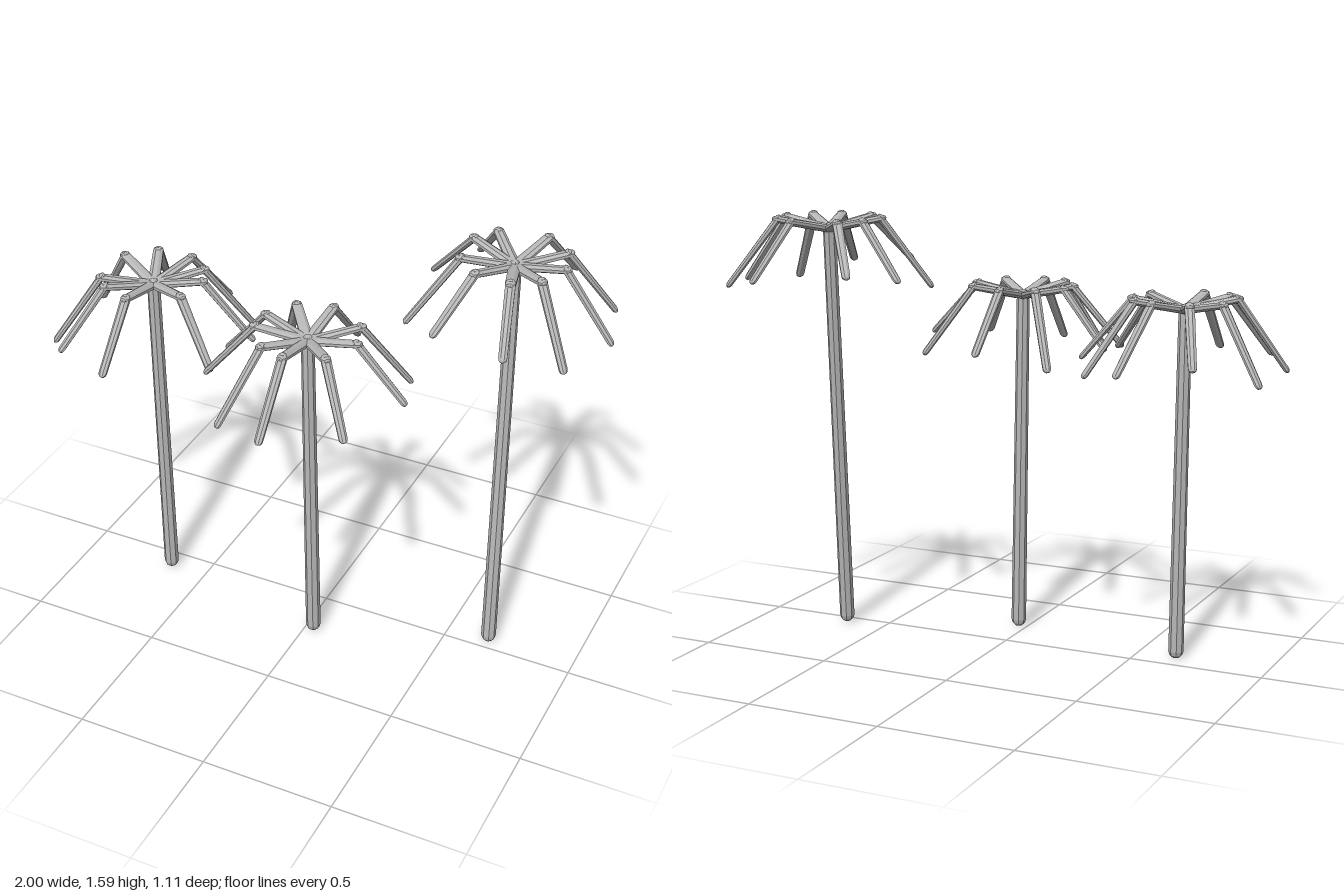
import * as THREE from 'three';

const grey = new THREE.MeshStandardMaterial({ color: 0xb8b8b8, flatShading: true });
grey.name = 'plainGrey';

const V = (x, y, z) => new THREE.Vector3(x, y, z);
const SIDES = 8;

// Tapered rod with rounded ends from a to b; one flat side faces the given
// direction, and thickness squashes the rod along that direction
function rod(name, a, b, ra, rb, facing, thickness = 1) {
  const axis = b.clone().sub(a);
  const length = axis.length();
  axis.normalize();
  const steps = 3;
  const lower = [];
  const upper = [];
  for (let i = 0; i <= steps; i++) {
    const t = (i / steps) * Math.PI / 2;
    lower.push(new THREE.Vector2(ra * Math.sin(t), -ra * Math.cos(t)));
    upper.push(new THREE.Vector2(rb * Math.cos(t), length + rb * Math.sin(t)));
  }
  upper[steps].x = 0;
  const geometry = new THREE.LatheGeometry([...lower, ...upper], SIDES, Math.PI / SIDES);
  geometry.scale(1, 1, thickness);
  const side = axis.clone().cross(facing).normalize();
  const normal = side.clone().cross(axis);
  const mesh = new THREE.Mesh(geometry, grey);
  mesh.name = name;
  mesh.position.copy(a);
  mesh.quaternion.setFromRotationMatrix(new THREE.Matrix4().makeBasis(side, axis, normal));
  return mesh;
}

// Each frond: [compass angle in degrees (0 = +x, 90 = +z), height of its tip]
const palms = [
  {
    name: 'leftmostPalm', base: V(-0.65, 0.027, 0.077), crown: V(-0.664, 1.285, 0.068),
    fronds: [[-114, 1.14], [-71, 1.10], [-39, 1.07], [-12, 1.11], [29, 1.115],
      [91, 1.11], [128, 1.11], [150, 1.07], [207, 1.07]],
  },
  {
    name: 'middlePalm', base: V(0.033, 0.027, 0.184), crown: V(0.013, 1.285, 0.176),
    fronds: [[-128, 1.07], [-87, 1.12], [-35.5, 1.085], [0, 1.135], [45, 1.11],
      [91, 1.09], [122, 1.07], [166, 1.115], [193, 1.125]],
  },
  {
    name: 'tallPalm', base: V(0.662, 0.027, -0.046), crown: V(0.62, 1.54, -0.196),
    fronds: [[-129, 1.41], [-73, 1.385], [-33, 1.345], [3, 1.345], [41, 1.335],
      [74, 1.395], [115.5, 1.41], [200, 1.385], [152, 1.335]],
  },
];

function buildPalm({ name, base, crown, fronds }) {
  const palm = new THREE.Group();
  palm.name = name;
  palm.add(rod('trunk', base, crown, 0.028, 0.024, V(0, 0, 1)));
  const up = V(0, 1, 0);
  for (const [degrees, tipY] of fronds) {
    const angle = THREE.MathUtils.degToRad(degrees);
    const at = (reach, y) => V(crown.x + Math.cos(angle) * reach, y, crown.z + Math.sin(angle) * reach);
    const elbow = at(0.188, crown.y + 0.037);
    const frond = new THREE.Group();
    frond.name = 'frond';
    // Flattened inner half rises slightly, outer half droops
    frond.add(rod('innerFrond', crown, elbow, 0.023, 0.02, up, 0.65));
    frond.add(rod('outerFrond', elbow, at(0.366, tipY), 0.019, 0.016, up, 0.7));
    palm.add(frond);
  }
  return palm;
}

export function createModel() {
  const model = new THREE.Group();
  model.name = 'palmTrees';
  for (const spec of palms) model.add(buildPalm(spec));
  return model;
}
